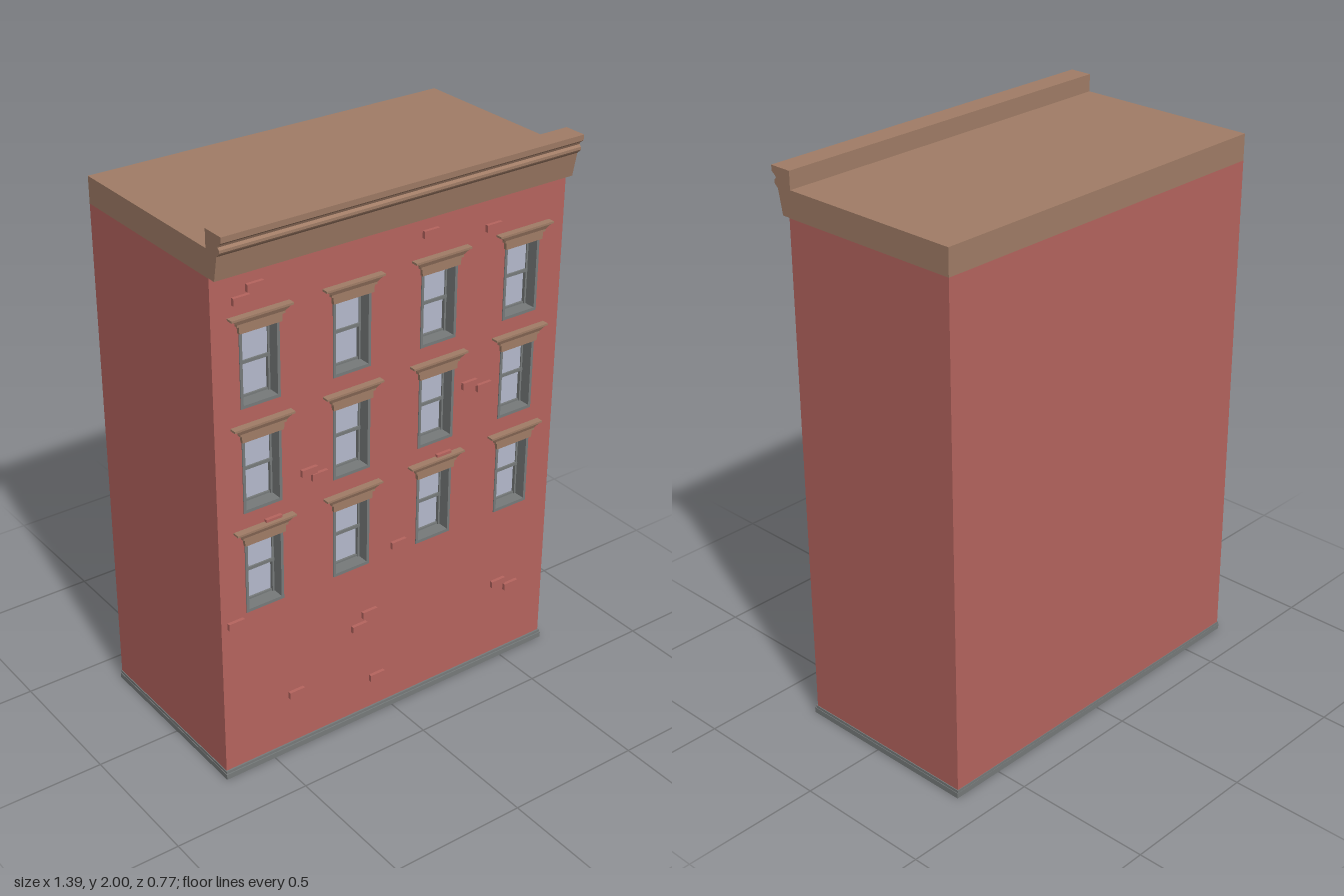
import * as THREE from 'three';

const mat = (color) => new THREE.MeshStandardMaterial({ color, flatShading: true });
const brick = mat(0xb5645e), stone = mat(0xa07c66), grey = mat(0x767a7a), glass = mat(0xb4b9cc);

function add(parent, name, geometry, material) {
  const mesh = new THREE.Mesh(geometry, material);
  mesh.name = name;
  parent.add(mesh);
  return mesh;
}

// Box given by its limits
function box(x0, x1, y0, y1, z0, z1) {
  return new THREE.BoxGeometry(x1 - x0, y1 - y0, z1 - z0)
    .translate((x0 + x1) / 2, (y0 + y1) / 2, (z0 + z1) / 2);
}

// Box standing against a wall, flaring in width and depth from bottom to top
function flare(y0, y1, w0, w1, d0, d1) {
  const g = box(-1, 1, y0, y1, 0, 1), p = g.attributes.position;
  for (let i = 0; i < p.count; i++) {
    const top = p.getY(i) > (y0 + y1) / 2;
    p.setX(i, p.getX(i) * (top ? w1 : w0));
    p.setZ(i, p.getZ(i) * (top ? d1 : d0));
  }
  return g;
}

const rectPoints = (x0, x1, y0, y1) => [[x0, y0], [x1, y0], [x1, y1], [x0, y1]].map(([x, y]) => new THREE.Vector2(x, y));

function panel(outer, holes, depth) {
  const shape = new THREE.Shape(rectPoints(...outer));
  for (const h of holes) shape.holes.push(new THREE.Path(rectPoints(...h).reverse()));
  return new THREE.ExtrudeGeometry(shape, { depth, bevelEnabled: false });
}

const W = 0.69, BACK = -0.38, FRONT = 0.31, RECESS = 0.25;
const COLUMNS = [-0.52, -0.175, 0.17, 0.515], ROWS = [0.635, 1.01, 1.382];
const HALF = 0.073, HEIGHT = 0.275;

// One window with its frame, two sashes and stone lintel
function makeWindow() {
  const g = new THREE.Group();
  g.name = 'window';
  const depth = FRONT - RECESS;
  add(g, 'windowFrame', panel([-HALF, HALF, 0, HEIGHT], [[-0.063, 0.063, 0.011, HEIGHT - 0.005]], depth + 0.003), grey)
    .position.z = -depth;
  add(g, 'lowerPane', box(-0.064, 0.064, 0.01, 0.14, -depth, -0.05), glass);
  add(g, 'upperPane', box(-0.064, 0.064, 0.135, HEIGHT, -depth, -0.042), glass);
  add(g, 'meetingRail', box(-0.064, 0.064, 0.129, 0.14, -depth, -0.036), grey);
  add(g, 'bottomRail', box(-0.064, 0.064, 0.01, 0.018, -depth, -0.043), grey);
  for (const s of [-1, 1])
    add(g, 'sashStile', box(-0.004, 0.004, 0.01, HEIGHT, -depth, -0.038), grey).position.x = s * 0.06;
  const lintel = new THREE.Group();
  lintel.name = 'lintel';
  add(lintel, 'lintelBase', flare(0.26, 0.286, 0.077, 0.079, 0.012, 0.012), stone);
  add(lintel, 'lintelBand', flare(0.286, 0.294, 0.086, 0.086, 0.015, 0.015), stone);
  add(lintel, 'lintelFlare', flare(0.294, 0.311, 0.086, 0.106, 0.015, 0.022), stone);
  add(lintel, 'lintelCap', flare(0.311, 0.318, 0.112, 0.112, 0.025, 0.025), stone);
  g.add(lintel);
  return g;
}

export function createModel() {
  const model = new THREE.Group();
  model.name = 'building';

  // Plinth
  add(model, 'plinth', box(-W - 0.005, W + 0.005, 0, 0.02, BACK - 0.003, 0.32), grey);
  add(model, 'plinthTop', box(-W - 0.003, W + 0.003, 0.02, 0.03, BACK - 0.002, 0.316), grey);

  // Brick body and pierced front wall
  add(model, 'body', box(-W, W, 0.03, 1.845, BACK, RECESS), brick);
  const openings = COLUMNS.flatMap((x) => ROWS.map((y) => [x - HALF, x + HALF, y, y + HEIGHT]));
  add(model, 'frontWall', panel([-W, W, 0.03, 1.845], openings, FRONT - RECESS), brick).position.z = RECESS;

  // Roof block
  add(model, 'roof', box(-W, W, 1.845, 1.938, BACK, FRONT), stone);

  // Cornice profile (z, y) run along the front
  const profile = [
    [0.3, 1.846], [0.34, 1.846], [0.357, 1.93], [0.368, 1.94], [0.372, 1.946], [0.372, 1.955],
    [0.364, 1.962], [0.368, 1.97], [0.382, 1.98], [0.383, 2], [0.3, 2],
  ];
  const cornice = new THREE.ExtrudeGeometry(
    new THREE.Shape(profile.map(([z, y]) => new THREE.Vector2(-z, y))),
    { depth: 2 * W, bevelEnabled: false });
  cornice.rotateY(Math.PI / 2).translate(-W, 0, 0);
  add(model, 'cornice', cornice, stone);

  // Windows
  const windowUnit = makeWindow();
  for (const x of COLUMNS) {
    for (const y of ROWS) {
      const w = windowUnit.clone();
      w.position.set(x, y, FRONT);
      model.add(w);
    }
  }

  // Scattered raised bricks
  const raised = [
    [-0.535, 1.783], [-0.585, 1.751], [0.128, 1.781], [0.385, 1.736], [-0.345, 1.081], [-0.305, 1.053],
    [0.307, 1.189], [0.37, 1.162], [-0.485, 0.95], [0.205, 0.95], [-0.637, 0.61], [0.02, 0.67],
    [-0.1, 0.434], [-0.143, 0.392], [0.475, 0.33], [0.535, 0.297], [-0.405, 0.232], [-0.065, 0.154],
  ];
  const brickGeometry = box(-0.03, 0.03, -0.0125, 0.0125, FRONT - 0.005, FRONT + 0.012);
  for (const [x, y] of raised) add(model, 'raisedBrick', brickGeometry, brick).position.set(x, y, 0);

  return model;
}
